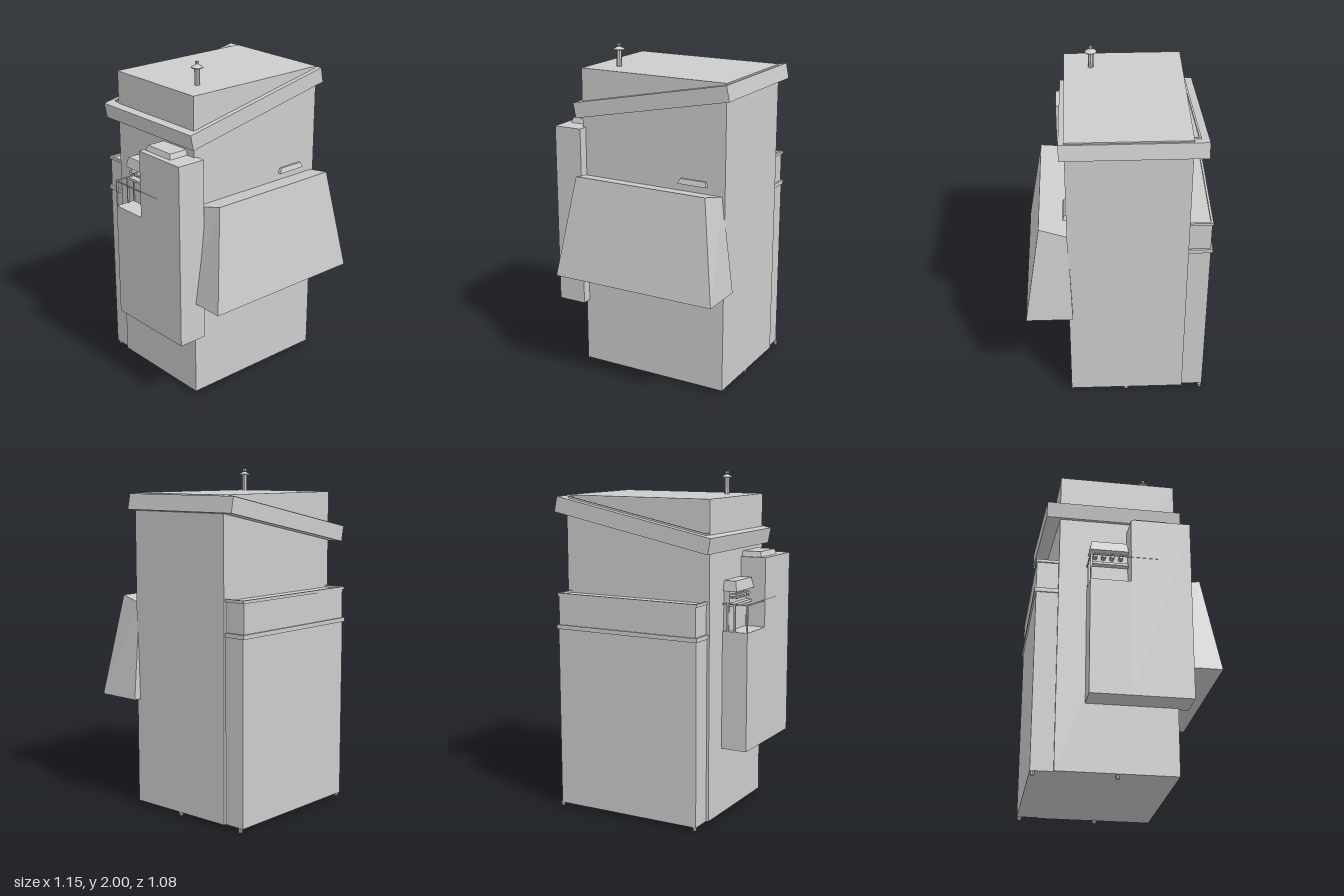
import * as THREE from 'three';

const grey = new THREE.MeshStandardMaterial({ color: 0xcccccc });
grey.name = 'plain grey';

function add(parent, name, geometry) {
  const mesh = new THREE.Mesh(geometry, grey);
  mesh.name = name;
  parent.add(mesh);
  return mesh;
}

// Box given by its lower and upper limits on each axis
function box(parent, name, [x0, x1], [y0, y1], [z0, z1]) {
  const mesh = add(parent, name, new THREE.BoxGeometry(x1 - x0, y1 - y0, z1 - z0));
  mesh.position.set((x0 + x1) / 2, (y0 + y1) / 2, (z0 + z1) / 2);
  return mesh;
}

// Solid between two four-cornered rings (front left, front right, back right, back left seen from above)
function hexahedron(parent, name, bottom, top) {
  const points = [];
  const quad = (a, b, c, d) => points.push(...a, ...b, ...c, ...a, ...c, ...d);
  for (let i = 0; i < 4; i++) {
    const j = (i + 1) % 4;
    quad(bottom[i], bottom[j], top[j], top[i]);
  }
  quad(...top);
  quad(...[...bottom].reverse());
  const geometry = new THREE.BufferGeometry();
  geometry.setAttribute('position', new THREE.Float32BufferAttribute(points, 3));
  geometry.computeVertexNormals();
  return add(parent, name, geometry);
}

const ring = (x0, x1, y, z0, z1) => [[x0, y, z1], [x1, y, z1], [x1, y, z0], [x0, y, z0]];

// Block with edges drawn in towards the top
function bevelled(parent, name, [x0, x1], [y0, y1], [z0, z1], inset) {
  return hexahedron(parent, name, ring(x0, x1, y0, z0, z1),
    ring(x0 + inset, x1 - inset, y1, z0 + inset, z1 - inset));
}

function cylinder(parent, name, rTop, rBottom, height, x, y, z, sides = 8) {
  const geometry = new THREE.CylinderGeometry(rTop, rBottom, height, sides).toNonIndexed();
  geometry.computeVertexNormals();
  const mesh = add(parent, name, geometry);
  mesh.position.set(x, y, z);
  return mesh;
}

function buildRoof(model) {
  const roof = new THREE.Group();
  roof.name = 'slantedRoofBand';
  roof.position.set(0.045, 1.715, 0);
  roof.rotation.z = 0.197;
  box(roof, 'roofBand', [-0.512, 0.512], [-0.046, 0.046], [-0.485, 0.315]);
  // raised lip behind the upper body
  box(roof, 'roofLip', [-0.46, 0.46], [0.046, 0.056], [-0.441, -0.43]);
  for (const x of [-0.46, 0.453]) box(roof, 'roofLipEnd', [x, x + 0.007], [0.046, 0.056], [-0.43, -0.4]);
  model.add(roof);

  const vent = new THREE.Group();
  vent.name = 'roofVent';
  vent.position.set(-0.26, 1.865, 0.127);
  cylinder(vent, 'ventPipe', 0.016, 0.016, 0.1, 0, 0.05, 0);
  cylinder(vent, 'ventCapRim', 0.035, 0.035, 0.005, 0, 0.1, 0);
  cylinder(vent, 'ventCap', 0.008, 0.035, 0.015, 0, 0.11, 0);
  box(vent, 'ventKnob', [-0.008, 0.008], [0.122, 0.135], [-0.008, 0.008]);
  model.add(vent);
}

function buildRearPanel(model) {
  const panel = new THREE.Group();
  panel.name = 'rearPanel';
  box(panel, 'rearLower', [-0.405, 0.51], [0.02, 1.09], [-0.53, -0.4]);
  box(panel, 'rearUpper', [-0.4, 0.505], [1.09, 1.29], [-0.53, -0.4]);
  box(panel, 'rearBelt', [-0.412, 0.517], [1.09, 1.115], [-0.54, -0.4]);
  // rim around the top
  box(panel, 'rearRim', [-0.408, 0.513], [1.285, 1.302], [-0.535, -0.522]);
  for (const x of [-0.408, 0.5]) box(panel, 'rearRimSide', [x, x + 0.013], [1.285, 1.302], [-0.522, -0.4]);
  model.add(panel);
}

function buildSideCabinet(model) {
  const cabinet = new THREE.Group();
  cabinet.name = 'sideCabinet';
  box(cabinet, 'cabinetTall', [-0.577, -0.4], [0.415, 1.515], [-0.005, 0.345]);
  box(cabinet, 'cabinetLow', [-0.577, -0.4], [0.415, 1.11], [-0.24, -0.005]);
  bevelled(cabinet, 'cabinetTopPad', [-0.543, -0.41], [1.515, 1.546], [0.01, 0.228], 0.01);

  // machine standing in the open corner
  box(cabinet, 'machineBack', [-0.455, -0.415], [1.11, 1.34], [-0.225, -0.005]);
  bevelled(cabinet, 'machineHood', [-0.505, -0.41], [1.34, 1.4], [-0.235, -0.005], 0.012);
  box(cabinet, 'machineShelf', [-0.49, -0.415], [1.255, 1.27], [-0.23, -0.005]);
  for (let i = 0; i < 4; i++) {
    const knob = cylinder(cabinet, 'machineKnob', 0.014, 0.014, 0.045, -0.475, 1.31, -0.2 + i * 0.05);
    knob.rotation.z = Math.PI / 2;
  }

  // guard rail and its posts
  box(cabinet, 'railLong', [-0.58, -0.573], [1.265, 1.272], [-0.24, 0.15]);
  box(cabinet, 'railShort', [-0.577, -0.42], [1.265, 1.272], [-0.243, -0.236]);
  for (const x of [-0.577, -0.5, -0.455]) {
    box(cabinet, 'railPost', [x, x + 0.01], [1.11, 1.268], [-0.24, -0.23]);
  }
  model.add(cabinet);
}

export function createModel() {
  const model = new THREE.Group();
  model.name = 'cabinetKiosk';

  box(model, 'body', [-0.42, 0.525], [0.02, 1.866], [-0.403, 0.285]);
  buildRoof(model);
  buildRearPanel(model);
  buildSideCabinet(model);

  // flared hood on the front
  hexahedron(model, 'frontHood', ring(-0.465, 0.572, 0.65, 0.263, 0.538),
    [[-0.37, 1.255, 0.443], [0.48, 1.255, 0.443], [0.507, 1.22, 0.28], [-0.4, 1.22, 0.28]]);
  hexahedron(model, 'frontHandle', ring(0.23, 0.415, 1.265, 0.28, 0.307),
    ring(0.245, 0.405, 1.295, 0.28, 0.298));

  // small round feet
  for (const x of [-0.39, 0.513]) {
    for (const z of [-0.055, -0.515]) cylinder(model, 'foot', 0.012, 0.012, 0.022, x, 0.011, z);
  }
  return model;
}
